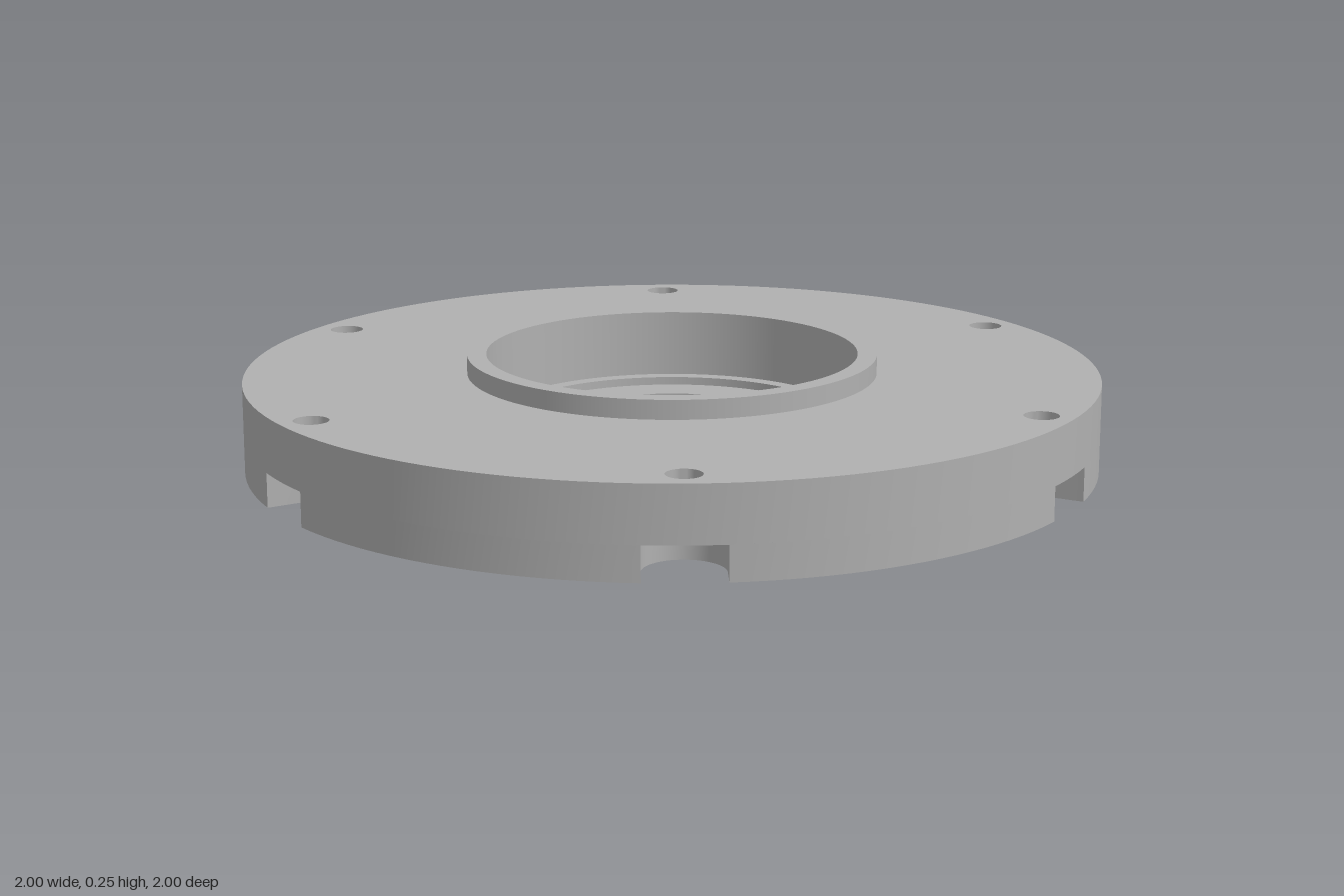
import * as THREE from 'three';
import { mergeGeometries, toCreasedNormals } from 'three/addons/utils/BufferGeometryUtils.js';

const R = 1, TOP = 0.21, RIM_TOP = 0.255;
const BORE = 0.305, RIM = 0.48;
const BOLT_CIRCLE = 0.925, HOLE = 0.04, SLOT = 0.09, SLOT_TOP = 0.08;
const HALF = Math.asin(SLOT / R); // half angle of a slot at the rim
const ANGLES = [0, 1, 2, 3, 4, 5].map(k => Math.PI / 6 + k * Math.PI / 3);

// Points along an arc in plan (x, -z)
function arc(cx, cy, r, a0, a1, n) {
  return Array.from({ length: n + 1 }, (_, i) => {
    const a = a0 + (a1 - a0) * i / n;
    return new THREE.Vector2(cx + r * Math.cos(a), cy + r * Math.sin(a));
  });
}
const circle = (cx, cy, r, n) => arc(cx, cy, r, 0, 2 * Math.PI, n).slice(0, -1);
const turn = (points, a) => points.map(p => p.clone().rotateAround(new THREE.Vector2(), a));
const boltHole = a => turn(circle(BOLT_CIRCLE, 0, HOLE, 32), a);

// Round-ended slot, open towards the rim
const slotOutline = [
  new THREE.Vector2(Math.cos(HALF), -SLOT),
  ...arc(BOLT_CIRCLE, 0, SLOT, 1.5 * Math.PI, 0.5 * Math.PI, 24),
  new THREE.Vector2(Math.cos(HALF), SLOT),
];

// Flat horizontal face, with holes, facing up or down
function face(outline, holes, y, up) {
  const shape = new THREE.Shape(outline);
  shape.holes = holes.map(h => new THREE.Path(h));
  const g = new THREE.ShapeGeometry(shape);
  g.rotateX(up ? -Math.PI / 2 : Math.PI / 2);
  return g.translate(0, y, 0);
}

// Upright wall along a closed outline; counter-clockwise faces outwards
function wall(outline, y0, y1) {
  const v = [];
  outline.forEach((p, i) => {
    const q = outline[(i + 1) % outline.length];
    v.push(p.x, y0, -p.y, q.x, y0, -q.y, q.x, y1, -q.y);
    v.push(p.x, y0, -p.y, q.x, y1, -q.y, p.x, y1, -p.y);
  });
  const g = new THREE.BufferGeometry();
  g.setAttribute('position', new THREE.Float32BufferAttribute(v, 3));
  return toCreasedNormals(g, Math.PI / 6);
}

export function createModel() {
  const model = new THREE.Group();
  model.name = 'flange';
  const metal = new THREE.MeshStandardMaterial({ color: 0xb0b0b0 });
  metal.name = 'grey metal';
  const add = (name, geometry) => {
    const mesh = new THREE.Mesh(geometry, metal);
    mesh.name = name;
    model.add(mesh);
  };

  // Disc: top and bottom faces, and the edge cut by six slots
  const holes = ANGLES.map(boltHole);
  const slotted = ANGLES.flatMap(a => [
    ...turn(slotOutline, a),
    ...arc(0, 0, R, a + HALF, a + Math.PI / 3 - HALF, 20).slice(1, -1),
  ]);
  add('discTop', face(circle(0, 0, R, 144), [circle(0, 0, RIM, 96), ...holes], TOP, true));
  add('discBottom', face(slotted, [circle(0, 0, BORE, 96)], 0, false));
  add('discEdge', wall(circle(0, 0, R, 144), SLOT_TOP, TOP));
  add('slottedEdge', wall(slotted, 0, SLOT_TOP));

  // Bolt holes and the slot ceilings they open into
  ANGLES.forEach((a, i) => {
    add('boltHole' + (i + 1), wall(holes[i].slice().reverse(), SLOT_TOP, TOP));
    const ceiling = [...slotOutline, ...arc(0, 0, R, HALF, -HALF, 6).slice(1, -1)];
    add('slotCeiling' + (i + 1), face(turn(ceiling, a), [boltHole(a)], SLOT_TOP, false));
  });

  // Raised collar and stepped bore, each band with its own sharp edges
  const profile = [
    [RIM, TOP], [RIM, RIM_TOP], [0.435, RIM_TOP], [0.435, 0.097],
    [0.4, 0.097], [0.4, 0.078], [BORE, 0.078], [BORE, 0],
  ].map(([x, y]) => new THREE.Vector2(x, y));
  const bands = profile.slice(1).map((p, i) => new THREE.LatheGeometry([profile[i], p], 96));
  add('collar', mergeGeometries(bands.slice(0, 2)));
  add('steppedBore', mergeGeometries(bands.slice(2)));

  return model;
}
